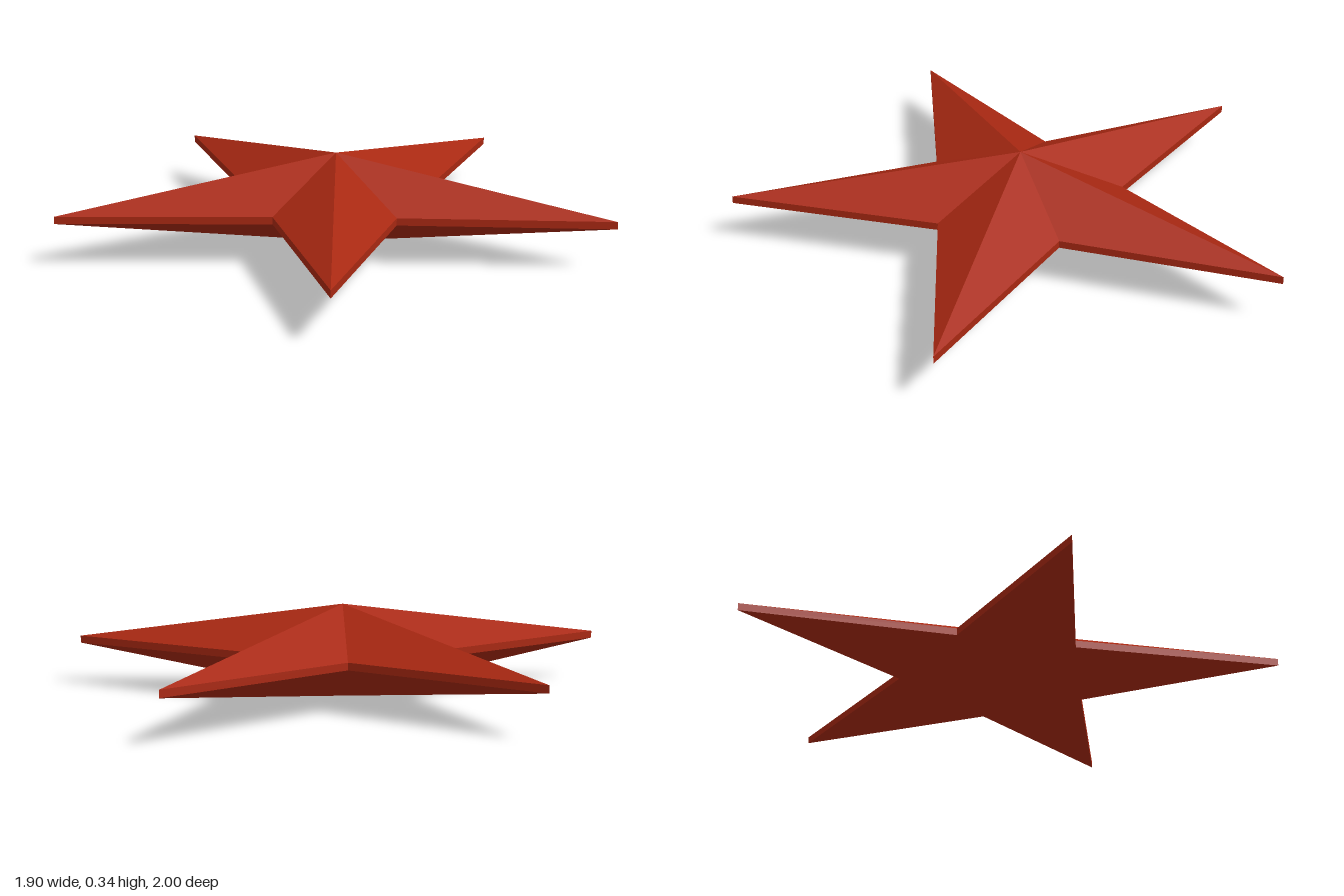
import * as THREE from 'three';

const CENTER_X = 0.1, OUTER = 1.051, INNER = 0.376;
const HEIGHT = 0.345, RIM_LOW = 0.16, RIM_HIGH = 0.187;

// Corner of the ten-sided star outline: even = arm tip, odd = valley
function corner(i, y) {
  const r = i % 2 === 0 ? OUTER : INNER;
  const a = Math.PI + (i * Math.PI) / 5;
  return [CENTER_X + r * Math.cos(a), y, r * Math.sin(a)];
}

function facets(name, triangles, material) {
  const geometry = new THREE.BufferGeometry();
  geometry.setAttribute('position', new THREE.Float32BufferAttribute(triangles.flat(), 3));
  geometry.computeVertexNormals();
  const mesh = new THREE.Mesh(geometry, material);
  mesh.name = name;
  return mesh;
}

export function createModel() {
  const red = new THREE.MeshStandardMaterial({ color: 0xa82812 });
  red.name = 'brick red';

  const apex = [CENTER_X, HEIGHT, 0];
  const base = [CENTER_X, 0, 0];
  const top = [], bottom = [], rim = [];
  for (let i = 0; i < 10; i++) {
    const aHigh = corner(i, RIM_HIGH), bHigh = corner(i + 1, RIM_HIGH);
    const aLow = corner(i, RIM_LOW), bLow = corner(i + 1, RIM_LOW);
    top.push(apex, bHigh, aHigh);
    bottom.push(base, aLow, bLow);
    rim.push(aHigh, bHigh, bLow, aHigh, bLow, aLow);
  }

  // Two faceted pyramids joined by a thin vertical rim
  const star = new THREE.Group();
  star.name = 'star';
  star.add(
    facets('upperFacets', top, red),
    facets('lowerFacets', bottom, red),
    facets('rim', rim, red)
  );
  return star;
}
